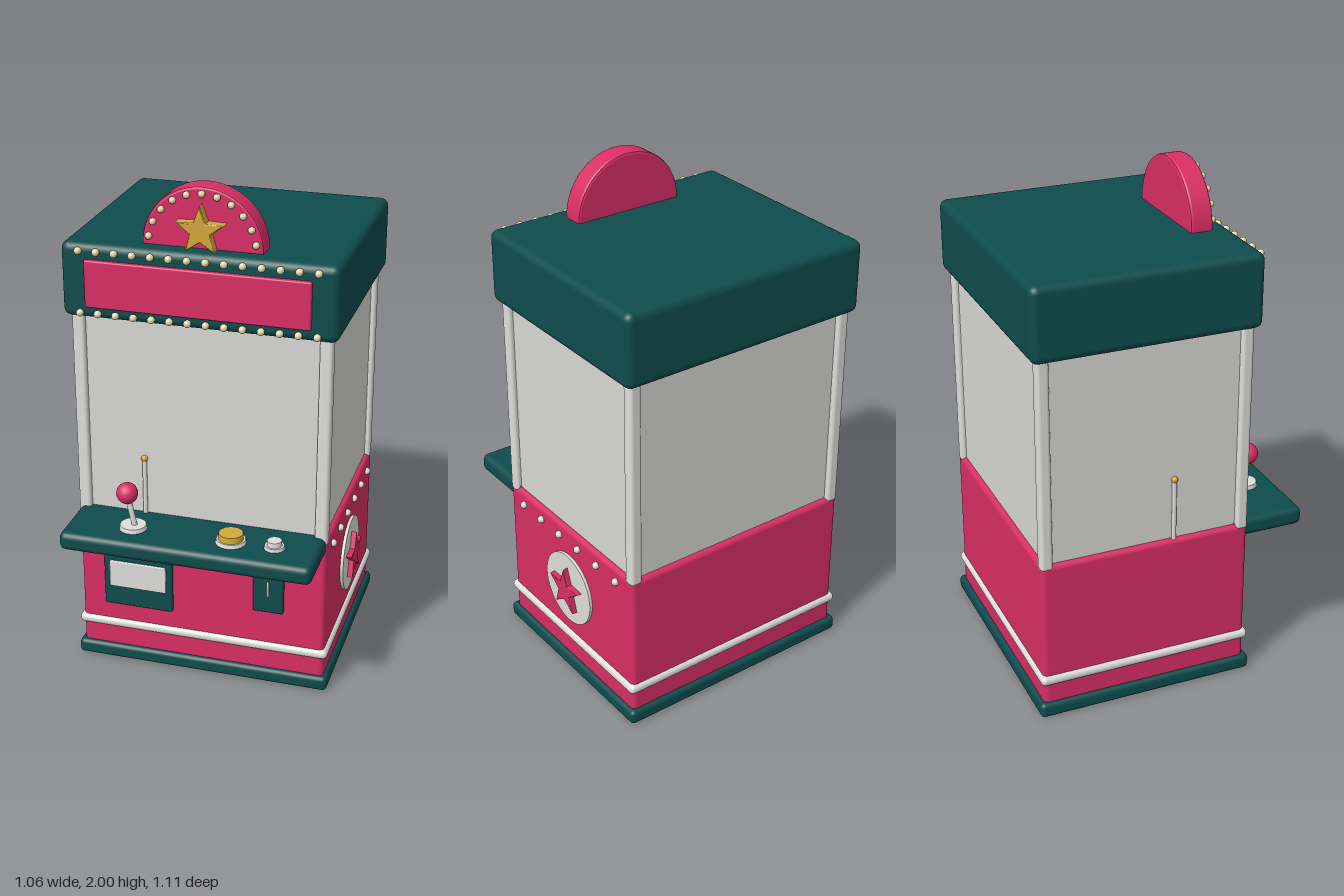
import * as THREE from 'three';
import { RoundedBoxGeometry } from 'three/addons/geometries/RoundedBoxGeometry.js';

const paint = (name, hex) => {
  const m = new THREE.MeshStandardMaterial({ color: hex });
  m.name = name;
  return m;
};

export function createModel() {
  const teal = paint('teal', 0x0f4c4c);
  const pink = paint('pink', 0xd92e66);
  const glass = paint('glass', 0xd8d8d6);
  const silver = paint('silver', 0xdededc);
  const gold = paint('gold', 0xd4a83a);
  const cream = paint('cream', 0xe8dbb0);

  const model = new THREE.Group();
  model.name = 'clawMachine';
  const CX = -0.006, CZ = -0.107;

  const add = (name, geo, mat, x = 0, y = 0, z = 0) => {
    const m = new THREE.Mesh(geo, mat);
    m.name = name;
    m.position.set(x, y, z);
    model.add(m);
    return m;
  };
  // Rounded box given by its limits on each axis
  const block = (name, mat, [x0, x1], [y0, y1], [z0, z1], r) =>
    add(name, new RoundedBoxGeometry(x1 - x0, y1 - y0, z1 - z0, 3, r), mat,
      (x0 + x1) / 2, (y0 + y1) / 2, (z0 + z1) / 2);
  // Box centred on the cabinet axis
  const tier = (name, mat, w, y, d, r) =>
    block(name, mat, [CX - w / 2, CX + w / 2], y, [CZ - d / 2, CZ + d / 2], r);
  const disc = (name, mat, r, h, x, y, z) =>
    add(name, new THREE.CylinderGeometry(r * 0.93, r, h, 32), mat, x, y + h / 2, z);
  const ball = (name, mat, r, x, y, z) =>
    add(name, new THREE.SphereGeometry(r, 16, 12), mat, x, y, z);
  const rod = (name, mat, r, a, b) => {
    const path = new THREE.LineCurve3(new THREE.Vector3(...a), new THREE.Vector3(...b));
    return add(name, new THREE.TubeGeometry(path, 1, r, 12), mat);
  };
  const starShape = (R, r) => {
    const pts = [];
    for (let i = 0; i < 10; i++) {
      const a = Math.PI / 2 + (i * Math.PI) / 5, q = i % 2 ? r : R;
      pts.push(new THREE.Vector2(Math.cos(a) * q, Math.sin(a) * q));
    }
    return new THREE.Shape(pts);
  };
  // Extrusion whose bevels stay inside the given depth and outline
  const slab = (shape, depth, b = 0.004) => new THREE.ExtrudeGeometry(shape, {
    depth: depth - 2 * b, bevelThickness: b, bevelSize: b, bevelOffset: -b,
    bevelSegments: 2, curveSegments: 32,
  }).translate(0, 0, b);

  // Cabinet
  tier('plinth', teal, 1.036, [0, 0.06], 0.884, 0.018);
  tier('cabinet', pink, 1.0, [0.02, 0.66], 0.846, 0.02);
  tier('trimBand', silver, 1.03, [0.14, 0.18], 0.872, 0.019);

  // Glass case and corner posts
  add('glassCase', new THREE.BoxGeometry(0.96, 0.86, 0.806), glass, CX, 1.07, CZ);
  for (const sx of [-1, 1]) for (const sz of [-1, 1]) {
    const x = CX + sx * 0.476, z = CZ + sz * 0.399;
    block('cornerPost', silver, [x - 0.025, x + 0.025], [0.64, 1.5], [z - 0.024, z + 0.024], 0.014);
  }

  // Chute guard posts
  for (const [x, z] of [[-0.235, 0.3], [-0.49, 0.01]]) {
    rod('guardPost', silver, 0.009, [x, 0.64, z], [x, 0.905, z]);
    ball('guardKnob', gold, 0.013, x, 0.91, z);
  }

  // Roof and sign panel
  tier('roof', teal, 1.052, [1.48, 1.77], 0.894, 0.03);
  block('signPanel', pink, [-0.435, 0.42], [1.53, 1.712], [0.32, 0.358], 0.006);
  for (const y of [1.505, 1.745]) for (let i = 0; i < 14; i++) {
    ball('signBulb', cream, 0.0145, -0.457 + i * 0.0693, y, 0.35);
  }

  // Half-round topper with star and bulbs
  const arch = new THREE.Shape();
  arch.moveTo(0.23, -0.02);
  arch.lineTo(0.23, 0);
  arch.absarc(0, 0, 0.23, 0, Math.PI, false);
  arch.lineTo(-0.23, -0.02);
  add('topper', slab(arch, 0.09, 0.01), pink, CX, 1.77, 0.18);
  add('topperStar', slab(starShape(0.097, 0.041), 0.045, 0.006), gold, CX, 1.843, 0.262);
  for (let i = 0; i < 11; i++) {
    const a = ((9 + i * 16.2) * Math.PI) / 180;
    ball('topperBulb', cream, 0.0135, CX + Math.cos(a) * 0.205, 1.77 + Math.sin(a) * 0.205, 0.277);
  }

  // Control shelf
  block('controlShelf', teal, [-0.502, 0.49], [0.602, 0.676], [0.26, 0.558], 0.025);
  disc('joystickBase', silver, 0.054, 0.018, -0.24, 0.675, 0.433);
  rod('joystickShaft', silver, 0.011, [-0.232, 0.68, 0.433], [-0.258, 0.81, 0.436]);
  ball('joystickBall', pink, 0.042, -0.26, 0.824, 0.436);
  disc('mainButtonRing', silver, 0.06, 0.016, 0.15, 0.675, 0.433);
  disc('mainButton', gold, 0.05, 0.04, 0.15, 0.675, 0.433);
  disc('smallButtonRing', silver, 0.04, 0.014, 0.32, 0.675, 0.433);
  disc('smallButton', silver, 0.03, 0.034, 0.32, 0.675, 0.433);

  // Prize door, arrow and coin slot on the front
  block('prizeDoorFrame', teal, [-0.405, -0.122], [0.255, 0.486], [0.3, 0.333], 0.008);
  block('prizeFlap', silver, [-0.38, -0.146], [0.342, 0.457], [0.32, 0.341], 0.004);
  const arrow = new THREE.Shape([
    new THREE.Vector2(-0.042, 0.022), new THREE.Vector2(0, -0.022), new THREE.Vector2(0.042, 0.022),
  ]);
  add('prizeArrow', slab(arrow, 0.03, 0.003), gold, -0.26, 0.528, 0.305);
  block('coinPlate', teal, [0.21, 0.332], [0.324, 0.495], [0.3, 0.335], 0.008);
  block('coinSlot', silver, [0.267, 0.275], [0.4, 0.464], [0.33, 0.338], 0.002);

  // Medallion and bulbs on the left side
  const plate = add('medallion', new THREE.CylinderGeometry(0.153, 0.153, 0.02, 48), silver, 0.496, 0.392, CZ);
  plate.rotation.z = Math.PI / 2;
  const star = add('medallionStar', slab(starShape(0.1, 0.041), 0.03), pink, 0.498, 0.39, CZ);
  star.rotation.y = Math.PI / 2;
  for (let i = 0; i < 6; i++) ball('sideBulb', silver, 0.015, 0.498, 0.609, 0.215 - i * 0.128);

  return model;
}
